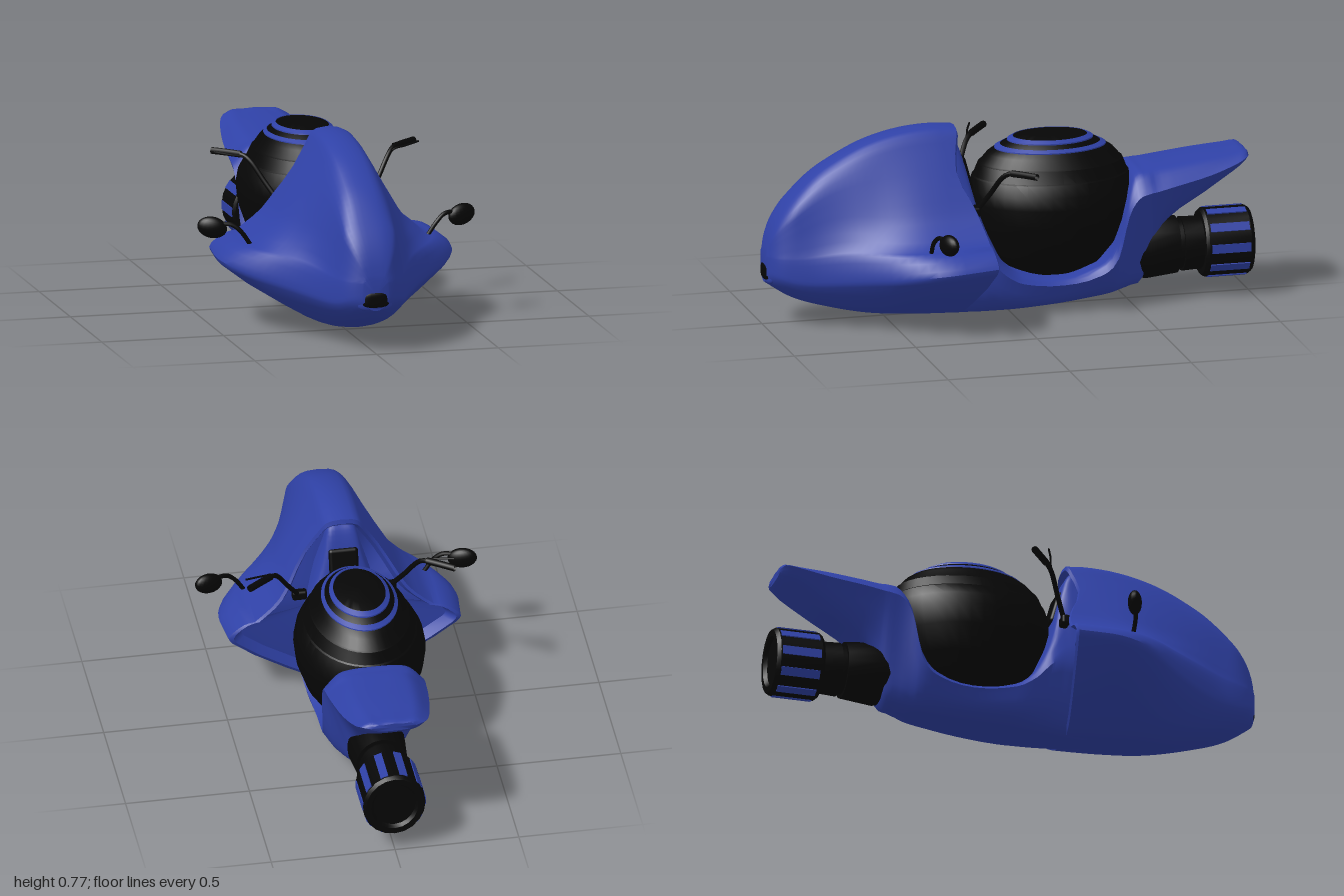
import * as THREE from 'three';
import { toCreasedNormals } from 'three/addons/utils/BufferGeometryUtils.js';
import { RoundedBoxGeometry } from 'three/addons/geometries/RoundedBoxGeometry.js';

const V = (x, y, z = 0) => new THREE.Vector3(x, y, z);
const blue = new THREE.MeshStandardMaterial({ color: 0x2f41a6, side: THREE.DoubleSide });
const black = new THREE.MeshStandardMaterial({ color: 0x060606, side: THREE.DoubleSide });

function add(parent, name, geometry, material, x = 0, y = 0, z = 0) {
  const mesh = new THREE.Mesh(geometry, material);
  mesh.name = name;
  mesh.position.set(x, y, z);
  parent.add(mesh);
  return mesh;
}

// Smooth function through [key, value] pairs
function track(...pairs) {
  const p = pairs.sort((a, b) => a[0] - b[0]);
  const n = p.length - 1;
  const slope = i => {
    const a = p[Math.max(i - 1, 0)], b = p[Math.min(i + 1, n)];
    return (b[1] - a[1]) / (b[0] - a[0]);
  };
  return k => {
    if (k <= p[0][0]) return p[0][1];
    if (k >= p[n][0]) return p[n][1];
    let i = 0;
    while (k > p[i + 1][0]) i++;
    const h = p[i + 1][0] - p[i][0], t = (k - p[i][0]) / h, t2 = t * t, t3 = t2 * t;
    return (2 * t3 - 3 * t2 + 1) * p[i][1] + (t3 - 2 * t2 + t) * h * slope(i)
      + (3 * t2 - 2 * t3) * p[i + 1][1] + (t3 - t2) * h * slope(i + 1);
  };
}

// Closed ring from upper and lower half curves that meet at a crease
function ring(upper, lower, z, n = 12) {
  const up = new THREE.CatmullRomCurve3(upper.map(([x, y]) => V(x, y, z))).getPoints(n);
  const low = new THREE.CatmullRomCurve3(lower.map(([x, y]) => V(x, y, z))).getPoints(n);
  const half = [...up, ...low.slice(1)];
  const other = half.slice(1, -1).reverse().map(p => V(-p.x, p.y, p.z));
  return [...half, ...other];
}

// Skin over rings ordered front to back, with a fan at each end
function loft(rings, crease = 0.6) {
  const n = rings[0].length, pos = [], idx = [];
  rings.forEach(r => r.forEach(p => pos.push(p.x, p.y, p.z)));
  for (let i = 0; i < rings.length - 1; i++) {
    for (let j = 0; j < n; j++) {
      const a = i * n + j, b = i * n + (j + 1) % n;
      idx.push(a, b, a + n, b, b + n, a + n);
    }
  }
  [0, rings.length - 1].forEach((r, end) => {
    const ys = rings[r].map(p => p.y);
    const c = pos.length / 3;
    pos.push(0, (Math.max(...ys) + Math.min(...ys)) / 2, rings[r][0].z);
    for (let j = 0; j < n; j++) {
      const a = r * n + j, b = r * n + (j + 1) % n;
      end ? idx.push(c, a, b) : idx.push(c, b, a);
    }
  });
  const g = new THREE.BufferGeometry();
  g.setAttribute('position', new THREE.Float32BufferAttribute(pos, 3));
  g.setIndex(idx);
  return toCreasedNormals(g, crease);
}

// Front cowl: ridged hood set into a hull with side wings and a V-shaped keel
function frontCowl() {
  const top = track([0.993, 0.305], [0.98, 0.365], [0.95, 0.435], [0.9, 0.505], [0.8, 0.605], [0.7, 0.67],
    [0.6, 0.72], [0.5, 0.752], [0.4, 0.77], [0.3, 0.775], [0.2, 0.768]);
  const keel = track([0.993, 0.175], [0.9, 0.115], [0.8, 0.077], [0.6, 0.03], [0.4, 0.011], [0.2, 0.002]);
  const wide = track([0.993, 0.05], [0.98, 0.078], [0.95, 0.112], [0.9, 0.14], [0.8, 0.185], [0.7, 0.245],
    [0.6, 0.32], [0.5, 0.405], [0.4, 0.462], [0.3, 0.481], [0.2, 0.468]);
  const hood = track([0.993, 0.046], [0.98, 0.073], [0.95, 0.105], [0.9, 0.132], [0.8, 0.167], [0.7, 0.212],
    [0.6, 0.27], [0.5, 0.33], [0.4, 0.358], [0.2, 0.36]);
  const seam = track([0.993, 0.296], [0.85, 0.31], [0.7, 0.338], [0.5, 0.348], [0.2, 0.355]);
  const chine = track([0.993, 0.235], [0.9, 0.205], [0.8, 0.2], [0.6, 0.225], [0.4, 0.262], [0.2, 0.28]);
  const rearEdge = track([0, 0.21], [0.27, 0.15], [0.36, 0.155], [0.43, 0.17], [0.5, 0.195], [0.57, 0.23],
    [0.63, 0.242], [0.72, 0.225], [0.775, 0.21]);
  const section = z => {
    const T = top(z), B = keel(z), W = wide(z), h = hood(z), S = seam(z), M = chine(z);
    const r = Math.min(0.1, h * 0.75), d = T - S, keelX = 0.42 + 0.28 * (1 - W / 0.48);
    // Hood flanks turn from rounded at the nose to hollow at the rear
    const full = 0.14 * (1 - THREE.MathUtils.smoothstep(h, 0.1, 0.34));
    return ring(
      [[0, T], [r * 0.6, T - 0.03 * d], [r, S + 0.83 * d], [r + 0.39 * (h - r), S + (0.43 + full) * d],
        [r + 0.64 * (h - r), S + (0.19 + full) * d], [h, S]],
      [[h, S + 0.002], [h + 0.5 * (W - h), S - 0.2 * (S - M)], [W, M + 0.012], [W * 0.97, M - 0.018],
        [W * keelX, B + 0.26 * (M - B)], [W * keelX * 0.45, B + 0.05 * (M - B)], [0, B]], z, 14);
  };
  const rings = [];
  for (let i = 0; i <= 30; i++) rings.push(section(0.993 - 0.71 * (i / 30) ** 1.6));
  const edge = section(0.2).map(p => V(p.x, p.y, rearEdge(p.y)));
  // Rounded lip and shallow recessed rear wall
  const inset = (s, dz) => edge.map(p => V(p.x * s, 0.33 + (p.y - 0.33) * s, p.z + dz));
  rings.push(edge, inset(0.96, -0.006), inset(0.88, 0.035));
  return loft(rings);
}

// Main body: dash behind the hood, cradle under the dome, and a swept tail
function mainBody() {
  // z, top, top width, crease height, crease width, bottom, lower width
  const rows = [
    [0.30, 0.74, 0.07, 0.27, 0.18, 0.004, 0.12], [0.24, 0.735, 0.075, 0.28, 0.18, 0.002, 0.13],
    [0.215, 0.71, 0.08, 0.28, 0.182, 0.001, 0.135], [0.19, 0.645, 0.09, 0.28, 0.186, 0.001, 0.145],
    [0.165, 0.55, 0.11, 0.28, 0.19, 0.001, 0.15], [0.14, 0.45, 0.135, 0.27, 0.195, 0.001, 0.155],
    [0.11, 0.36, 0.155, 0.25, 0.20, 0.002, 0.16], [0.05, 0.235, 0.165, 0.185, 0.20, 0.004, 0.16],
    [-0.03, 0.17, 0.16, 0.14, 0.19, 0.008, 0.16], [-0.2, 0.145, 0.15, 0.12, 0.175, 0.017, 0.14],
    [-0.35, 0.185, 0.155, 0.15, 0.18, 0.032, 0.13], [-0.42, 0.27, 0.17, 0.22, 0.19, 0.04, 0.13],
    [-0.46, 0.45, 0.17, 0.39, 0.2, 0.046, 0.13], [-0.5, 0.545, 0.14, 0.46, 0.202, 0.055, 0.12],
    [-0.55, 0.558, 0.14, 0.48, 0.202, 0.08, 0.11], [-0.58, 0.563, 0.13, 0.485, 0.2, 0.22, 0.12],
    [-0.65, 0.57, 0.13, 0.5, 0.195, 0.33, 0.13], [-0.8, 0.587, 0.12, 0.53, 0.175, 0.43, 0.12],
    [-0.92, 0.598, 0.1, 0.565, 0.148, 0.515, 0.11], [-0.965, 0.602, 0.09, 0.582, 0.122, 0.55, 0.09],
    [-0.978, 0.597, 0.07, 0.58, 0.09, 0.563, 0.07]];
  const [t, tw, m, w, b, lw] = [1, 2, 3, 4, 5, 6].map(k => track(...rows.map(r => [r[0], r[k]])));
  // Three rings for each pair of rows
  const zs = rows.flatMap(([z], i) => i ? [1, 2, 3].map(k => THREE.MathUtils.lerp(rows[i - 1][0], z, k / 3)) : [z]);
  return loft(zs.map(z => ring(
    [[0, t(z)], [tw(z) * 0.6, t(z) - 0.003], [tw(z), t(z) - 0.2 * (t(z) - m(z))], [w(z), m(z)]],
    [[w(z), m(z)], [lw(z), b(z) + 0.35 * (m(z) - b(z))], [lw(z) * 0.6, b(z) + 0.06 * (m(z) - b(z))], [0, b(z)]],
    z)), 0.7);
}

// Oval turned band, narrowing sideways towards the crown
const ovalWidth = track([0.4, 0.8], [0.495, 0.765], [0.57, 0.69], [0.635, 0.655], [0.68, 0.68]);
function ovalBand(points) {
  const g = new THREE.LatheGeometry(points.map(([r, y]) => new THREE.Vector2(r, y)), 40);
  const p = g.attributes.position;
  for (let i = 0; i < p.count; i++) p.setX(i, p.getX(i) * ovalWidth(p.getY(i)));
  return toCreasedNormals(g, 0.4);
}

// Rounded-oblong lens, bent back at its sides to follow the nose
function noseLens(rx, ry, rz) {
  const g = new THREE.SphereGeometry(1, 32, 20);
  const p = g.attributes.position;
  const square = v => Math.sign(v) * Math.abs(v) ** 0.6;
  for (let i = 0; i < p.count; i++) {
    const x = square(p.getX(i)) * rx;
    p.setXYZ(i, x, square(p.getY(i)) * ry, square(p.getZ(i)) * rz - 2 * x * x);
  }
  g.computeVertexNormals();
  return g;
}

const tube = (points, r) => new THREE.TubeGeometry(new THREE.CatmullRomCurve3(points), 20, r, 8);

// Handlebar and mirror of one side
function controls() {
  const g = new THREE.Group();
  add(g, 'handlebarClamp', new RoundedBoxGeometry(0.06, 0.04, 0.035, 2, 0.01), black, 0.18, 0.455, 0.17);
  add(g, 'handlebar', tube([V(0.18, 0.45, 0.17), V(0.235, 0.535, 0.125), V(0.285, 0.615, 0.085),
    V(0.31, 0.635, 0.06), V(0.41, 0.642, -0.02)], 0.01), black);
  add(g, 'grip', tube([V(0.315, 0.637, 0.055), V(0.36, 0.64, 0.02), V(0.415, 0.642, -0.022)], 0.014), black);
  add(g, 'brakeLever', tube([V(0.27, 0.6, 0.09), V(0.31, 0.63, 0.075), V(0.36, 0.638, 0.06),
    V(0.42, 0.648, 0.035)], 0.004), black);
  add(g, 'mirrorStem', tube([V(0.365, 0.345, 0.4), V(0.4, 0.395, 0.4), V(0.435, 0.425, 0.39),
    V(0.48, 0.43, 0.375)], 0.009), black);
  const mirror = add(g, 'mirror', new THREE.SphereGeometry(1, 20, 14), black, 0.512, 0.414, 0.365);
  mirror.scale.set(0.06, 0.043, 0.028);
  mirror.rotation.set(0, 0.3, 0.2);
  return g;
}

function engine() {
  const g = new THREE.Group();
  g.name = 'engine';
  const profile = [[0, 0.5], [0.115, 0.5], [0.13, 0.57], [0.116, 0.7], [0.1, 0.7], [0.1, 0.72], [0.11, 0.72],
    [0.106, 0.8], [0.13, 0.8], [0.14, 0.812], [0.14, 0.985], [0.13, 1], [0.105, 1], [0.095, 0.985], [0, 0.985]];
  const lathe = new THREE.LatheGeometry(profile.map(([r, y]) => new THREE.Vector2(r, y)), 20);
  add(g, 'thruster', toCreasedNormals(lathe.rotateX(-Math.PI / 2), 0.5), black);
  for (let i = 0; i < 10; i++) {
    const a = (i + 0.5) / 10 * Math.PI * 2;
    const slat = add(g, 'thrusterSlat', new THREE.BoxGeometry(0.036, 0.012, 0.16), blue,
      Math.sin(a) * 0.136, Math.cos(a) * 0.136, -0.9);
    slat.rotation.z = -a;
  }
  g.position.y = 0.21;
  g.scale.x = 0.9;
  return g;
}

export function createModel() {
  const model = new THREE.Group();
  model.name = 'hoverBike';
  add(model, 'frontCowl', frontCowl(), blue);
  add(model, 'mainBodyAndTail', mainBody(), blue);

  // Headlight
  add(model, 'headlightRim', noseLens(0.075, 0.043, 0.02), blue, 0, 0.216, 0.976);
  add(model, 'headlight', noseLens(0.061, 0.033, 0.02), black, 0, 0.218, 0.98);

  // Dome with two inlaid rings
  const dome = [[0, 0.135], [0.12, 0.145], [0.2, 0.185], [0.27, 0.27], [0.315, 0.37], [0.333, 0.45], [0.331, 0.5],
    [0.318, 0.545], [0.312, 0.55], [0.294, 0.597], [0.286, 0.602], [0.256, 0.637], [0.228, 0.655], [0.205, 0.668],
    [0.175, 0.685], [0.155, 0.694], [0.148, 0.7], [0.1, 0.709], [0, 0.712]];
  add(model, 'dome', ovalBand(dome), black, 0, 0, -0.185);
  for (const [r, y] of [[0.228, 0.656], [0.176, 0.686]]) {
    add(model, 'domeRing', ovalBand([[r, y - 0.004], [r - 0.002, y + 0.004], [r - 0.024, y + 0.015],
      [r - 0.026, y + 0.002]]), blue, 0, 0, -0.185);
  }

  // Instrument panel
  const panel = add(model, 'instrumentPanel', new RoundedBoxGeometry(0.12, 0.14, 0.03, 3, 0.014), black, 0, 0.575, 0.175);
  panel.rotation.x = 0.27;

  const left = controls();
  left.name = 'leftControls';
  const right = left.clone();
  right.name = 'rightControls';
  right.scale.x = -1;
  model.add(left, right, engine());
  return model;
}
